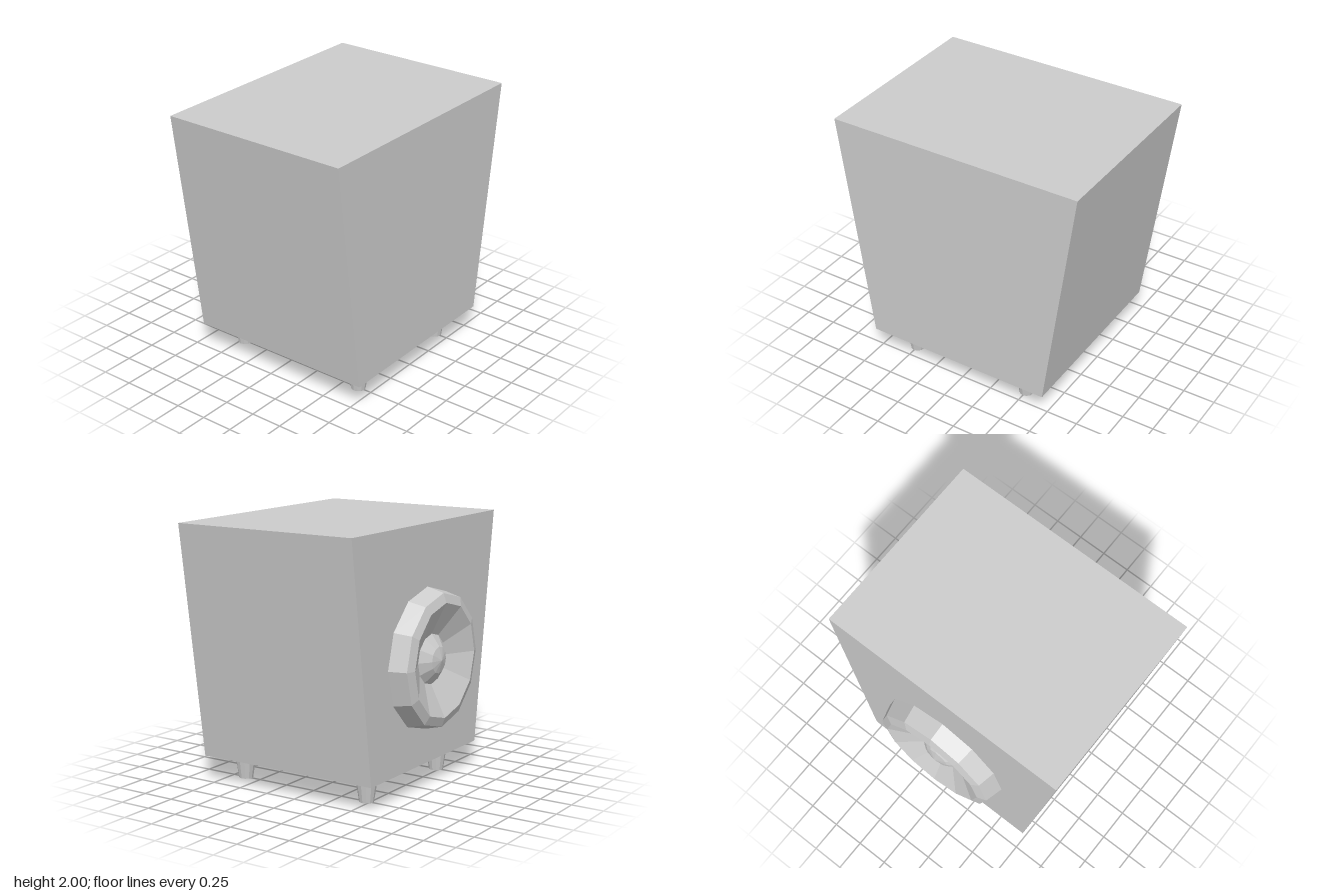
import * as THREE from 'three';

export function createModel() {
  const model = new THREE.Group();
  const grey = new THREE.MeshStandardMaterial({ color: 0xcccccc });
  grey.name = 'light grey';

  // Faceted mesh with one normal per face
  const add = (name, geometry, x = 0, y = 0, z = 0) => {
    const flat = geometry.toNonIndexed();
    flat.computeVertexNormals();
    const mesh = new THREE.Mesh(flat, grey);
    mesh.name = name;
    mesh.position.set(x, y, z);
    model.add(mesh);
  };

  // Cabinet: narrows in x toward the bottom
  const cabinet = new THREE.BoxGeometry(2, 1.8, 1.5);
  const p = cabinet.attributes.position;
  for (let i = 0; i < p.count; i++) {
    if (p.getY(i) < 0) p.setX(i, p.getX(i) * 0.75);
  }
  add('cabinet', cabinet, 0, 1.1, 0.08);

  // Speaker parts on the back, turned around the z axis: [radius, distance behind]
  const turned = (profile) =>
    new THREE.LatheGeometry(profile.map(([r, d]) => new THREE.Vector2(r, d)), 12).rotateX(-Math.PI / 2);
  add('speakerRim', turned([[0.535, 0.67], [0.5, 0.805], [0.43, 0.83]]), 0, 1, 0);
  add('speakerCone', turned([[0.43, 0.83], [0.19, 0.71]]), 0, 1, 0);
  add('dustCap', turned([[0.19, 0.71], [0.1, 0.775], [0, 0.8]]), 0, 1, 0);

  // Four tapered feet
  for (const x of [-0.5, 0.5]) {
    for (const z of [0.635, -0.47]) {
      add('foot', new THREE.CylinderGeometry(0.085, 0.055, 0.2, 12), x, 0.1, z);
    }
  }
  return model;
}
